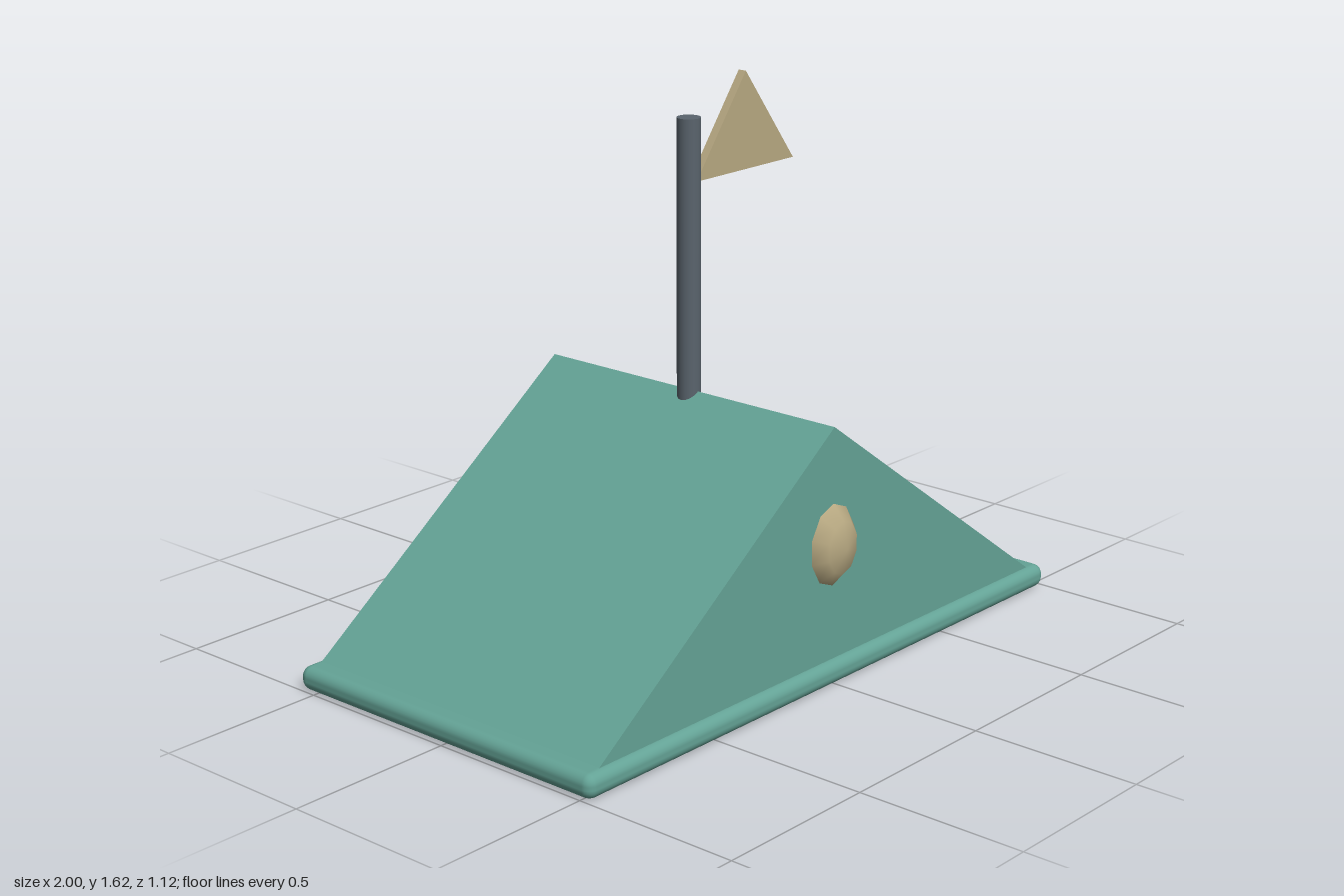
import * as THREE from 'three';
import { RoundedBoxGeometry } from 'three/addons/geometries/RoundedBoxGeometry.js';

const CENTRE_Z = -0.012;

const material = (color) => new THREE.MeshStandardMaterial({ color });

// Triangular slab, extruded along z and centred on z = 0
function triangle(points, depth) {
  const shape = new THREE.Shape(points.map(([x, y]) => new THREE.Vector2(x, y)));
  return new THREE.ExtrudeGeometry(shape, { depth, bevelEnabled: false })
    .translate(0, 0, -depth / 2);
}

export function createModel() {
  const model = new THREE.Group();
  const teal = material(0x64a396);
  const steel = material(0x5a646d);
  const sand = material(0xb8a982);

  function add(name, geometry, mat, x, y, z) {
    const mesh = new THREE.Mesh(geometry, mat);
    mesh.name = name;
    mesh.position.set(x, y, z);
    model.add(mesh);
  }

  // Flat base with rounded edges
  add('base', new RoundedBoxGeometry(2, 0.07, 1.095, 3, 0.03), teal, 0, 0.035, CENTRE_Z);

  // Gabled roof
  add('roof', triangle([[-0.965, 0.05], [0.965, 0.05], [0, 0.742]], 1.042), teal, 0, 0, CENTRE_Z);

  // Oval boss half sunk in the front gable
  const boss = new THREE.SphereGeometry(1, 10, 5)
    .rotateX(Math.PI / 2)
    .rotateZ(Math.PI / 10)
    .scale(0.105, 0.131, 0.083);
  add('gableBoss', boss, sand, 0, 0.405, 0.478);

  // Flagpole standing on the ridge
  add('flagpole', new THREE.CylinderGeometry(0.034, 0.034, 0.82, 16), steel, 0, 1.108, CENTRE_Z);

  // Pennant
  add('flag', triangle([[0.018, 1.336], [0.435, 1.336], [0.225, 1.615]], 0.026), sand, 0, 0, CENTRE_Z);

  return model;
}
